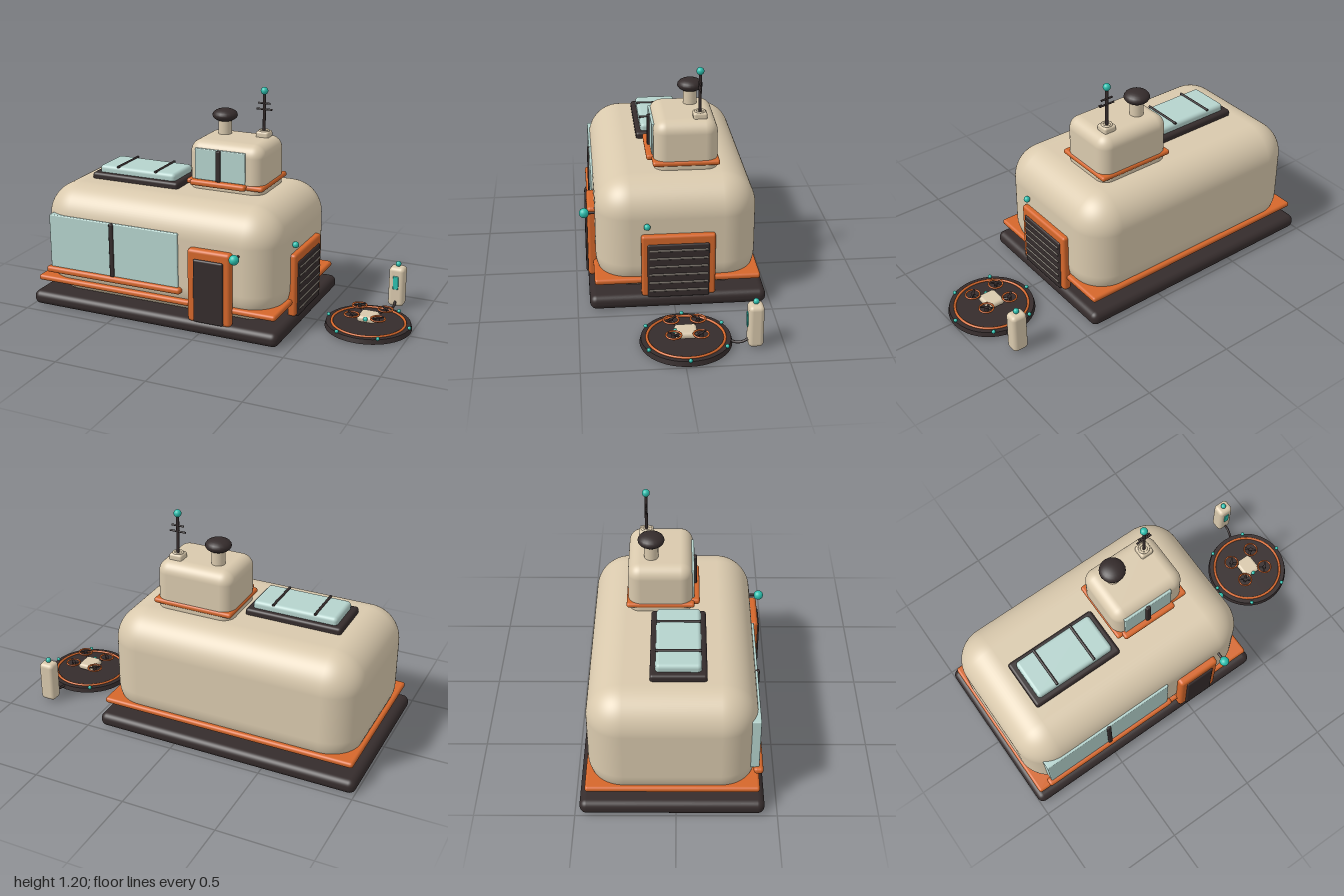
import * as THREE from 'three';
import { RoundedBoxGeometry } from 'three/addons/geometries/RoundedBoxGeometry.js';

const material = (name, color) => {
  const m = new THREE.MeshStandardMaterial({ color });
  m.name = name;
  return m;
};

export function createModel() {
  const cream = material('cream', 0xd9c9ad);
  const dark = material('charcoal', 0x352c2c);
  const orange = material('orange', 0xd5672b);
  const glass = material('glass', 0xb5d3cd);
  const teal = material('teal', 0x2cbfae);
  const grey = material('slatGrey', 0x6e675f);

  const model = new THREE.Group();
  model.name = 'habitat';

  const group = (name, x = 0, y = 0, z = 0) => {
    const g = new THREE.Group();
    g.name = name;
    g.position.set(x, y, z);
    model.add(g);
    return g;
  };
  const add = (parent, name, geometry, mat, x = 0, y = 0, z = 0) => {
    const mesh = new THREE.Mesh(geometry, mat);
    mesh.name = name;
    mesh.position.set(x, y, z);
    parent.add(mesh);
    return mesh;
  };
  // Rounded box given by its extents on each axis
  const block = (parent, name, mat, [x0, x1], [y0, y1], [z0, z1], r = 0.01, seg = 3) =>
    add(parent, name, new RoundedBoxGeometry(x1 - x0, y1 - y0, z1 - z0, seg, r), mat,
      (x0 + x1) / 2, (y0 + y1) / 2, (z0 + z1) / 2);
  const ball = (parent, name, mat, r, x, y, z) =>
    add(parent, name, new THREE.SphereGeometry(r, 20, 14), mat, x, y, z);
  const rod = (parent, name, mat, r, length, x, y, z, axis = 'y') => {
    const m = add(parent, name, new THREE.CylinderGeometry(r, r, length, 20), mat, x, y, z);
    if (axis === 'x') m.rotation.z = Math.PI / 2;
    if (axis === 'z') m.rotation.x = Math.PI / 2;
    return m;
  };

  // Main hull on its plinth
  const hull = group('hull');
  block(hull, 'plinth', dark, [-1, 0.44], [0, 0.077], [-0.477, 0.437], 0.035, 5);
  block(hull, 'shell', cream, [-0.965, 0.405], [0.055, 0.672], [-0.437, 0.398], 0.18, 10);
  block(hull, 'belt', orange, [-0.975, 0.418], [0.135, 0.166], [-0.447, 0.41], 0.014);

  // Wide front window
  const frontWindow = group('frontWindow');
  block(frontWindow, 'pane', glass, [-0.89, -0.125], [0.225, 0.525], [0.35, 0.408], 0.006);
  block(frontWindow, 'mullion', dark, [-0.522, -0.498], [0.23, 0.525], [0.39, 0.418], 0.006);
  block(frontWindow, 'sill', orange, [-0.912, -0.105], [0.198, 0.232], [0.38, 0.428], 0.015);

  // Front door with its lamp
  const frontDoor = group('frontDoor');
  block(frontDoor, 'doorFrame', orange, [-0.058, 0.183], [0.07, 0.467], [0.385, 0.437], 0.018);
  block(frontDoor, 'doorPanel', dark, [-0.02, 0.147], [0.075, 0.418], [0.4, 0.447], 0.01);
  ball(frontDoor, 'doorLamp', teal, 0.026, 0.213, 0.453, 0.453);
  rod(frontDoor, 'lampStem', dark, 0.007, 0.06, 0.213, 0.453, 0.42, 'z');

  // Slatted shutter on the left flank
  const shutter = group('shutter');
  block(shutter, 'shutterFrame', orange, [0.39, 0.434], [0.07, 0.412], [-0.21, 0.17], 0.014);
  block(shutter, 'shutterPanel', dark, [0.4, 0.442], [0.065, 0.367], [-0.178, 0.14], 0.01);
  for (let i = 0; i < 6; i++)
    rod(shutter, 'slat', grey, 0.006, 0.3, 0.441, 0.106 + i * 0.0455, -0.019, 'z');
  ball(shutter, 'shutterLamp', teal, 0.017, 0.42, 0.46, 0.14);

  // Roof skylight
  const skylight = group('skylight');
  block(skylight, 'skylightFrame', dark, [-0.767, -0.25], [0.66, 0.705], [-0.127, 0.15], 0.015);
  block(skylight, 'skylightGlass', glass, [-0.735, -0.28], [0.68, 0.743], [-0.1, 0.123], 0.02);
  for (const x of [-0.62, -0.393])
    rod(skylight, 'skylightBar', dark, 0.007, 0.225, x, 0.743, 0.011, 'z');

  // Roof tower
  const tower = group('tower');
  block(tower, 'towerShell', cream, [-0.22, 0.205], [0.62, 0.93], [-0.247, 0.085], 0.065, 6);
  block(tower, 'towerBelt', orange, [-0.226, 0.213], [0.694, 0.722], [-0.255, 0.093], 0.013);
  block(tower, 'towerPane', glass, [-0.175, 0.113], [0.725, 0.893], [0.06, 0.092], 0.005);
  block(tower, 'towerMullion', dark, [-0.05, -0.024], [0.725, 0.893], [0.08, 0.106], 0.006);
  block(tower, 'towerSill', orange, [-0.195, 0.122], [0.695, 0.726], [0.07, 0.12], 0.013);

  // Mushroom vent
  const vent = group('vent', -0.098, 0, -0.128);
  rod(vent, 'ventStem', cream, 0.036, 0.1, 0, 0.965, 0);
  ball(vent, 'ventCap', dark, 0.068, 0, 1.032, 0).scale.y = 0.52;

  // Antenna
  const antenna = group('antenna', 0.116, 0, -0.157);
  block(antenna, 'antennaFoot', cream, [-0.036, 0.036], [0.92, 0.96], [-0.036, 0.036], 0.012);
  add(antenna, 'antennaCollar', new THREE.TorusGeometry(0.024, 0.006, 8, 24), cream, 0, 0.96, 0)
    .rotation.x = Math.PI / 2;
  rod(antenna, 'mast', dark, 0.008, 0.22, 0, 1.06, 0);
  rod(antenna, 'upperCrossbar', dark, 0.005, 0.068, 0, 1.108, 0, 'x');
  rod(antenna, 'lowerCrossbar', dark, 0.005, 0.088, 0, 1.076, 0, 'x');
  ball(antenna, 'mastLight', teal, 0.02, 0, 1.175, 0);

  // Landing pad with a ring and six lights
  const pad = group('landingPad', 0.772, 0, -0.022);
  add(pad, 'padDisc', new THREE.CylinderGeometry(0.222, 0.228, 0.025, 48), dark, 0, 0.0175, 0);
  add(pad, 'padRing', new THREE.TorusGeometry(0.192, 0.007, 8, 48), orange, 0, 0.032, 0)
    .rotation.x = Math.PI / 2;
  for (let i = 0; i < 6; i++) {
    const a = i * Math.PI / 3;
    ball(pad, 'padLight', teal, 0.01, 0.22 * Math.cos(a), 0.034, 0.22 * Math.sin(a));
  }

  // Quadcopter parked on the pad
  const drone = group('drone', 0.772, 0, -0.022);
  block(drone, 'droneBody', cream, [-0.05, 0.05], [0.042, 0.077], [-0.055, 0.055], 0.016, 4);
  ball(drone, 'droneEye', teal, 0.012, 0, 0.065, 0.053);
  for (const sx of [-1, 1]) for (const sz of [-1, 1]) {
    const x = sx * 0.071, z = sz * 0.067;
    const arm = new THREE.LineCurve3(new THREE.Vector3(sx * 0.03, 0.068, sz * 0.03),
      new THREE.Vector3(x, 0.078, z));
    add(drone, 'droneArm', new THREE.TubeGeometry(arm, 1, 0.007, 8), dark);
    rod(drone, 'rotorHub', dark, 0.01, 0.024, x, 0.08, z);
    const guard = add(drone, 'rotorGuard', new THREE.TorusGeometry(0.037, 0.005, 8, 28), orange, x, 0.086, z);
    guard.rotation.x = Math.PI / 2;
    const blade = add(drone, 'rotorBlade', new THREE.BoxGeometry(0.07, 0.004, 0.01), dark, x, 0.09, z);
    blade.rotation.y = sx * sz * Math.PI / 4;
  }

  // Charging post with its cable
  const post = group('chargingPost', 0.828, 0, -0.355);
  block(post, 'postBody', cream, [-0.043, 0.043], [0.008, 0.232], [-0.038, 0.038], 0.022, 5);
  block(post, 'postScreen', teal, [-0.015, 0.015], [0.11, 0.185], [0.034, 0.043], 0.003);
  ball(post, 'postLight', teal, 0.015, 0, 0.245, 0);
  const cable = new THREE.CatmullRomCurve3([[0, 0.04, 0.03], [0.003, 0.025, 0.06],
    [-0.004, 0.018, 0.09], [-0.016, 0.022, 0.12]].map(p => new THREE.Vector3(...p)));
  add(post, 'cable', new THREE.TubeGeometry(cable, 16, 0.007, 8), dark);

  return model;
}
